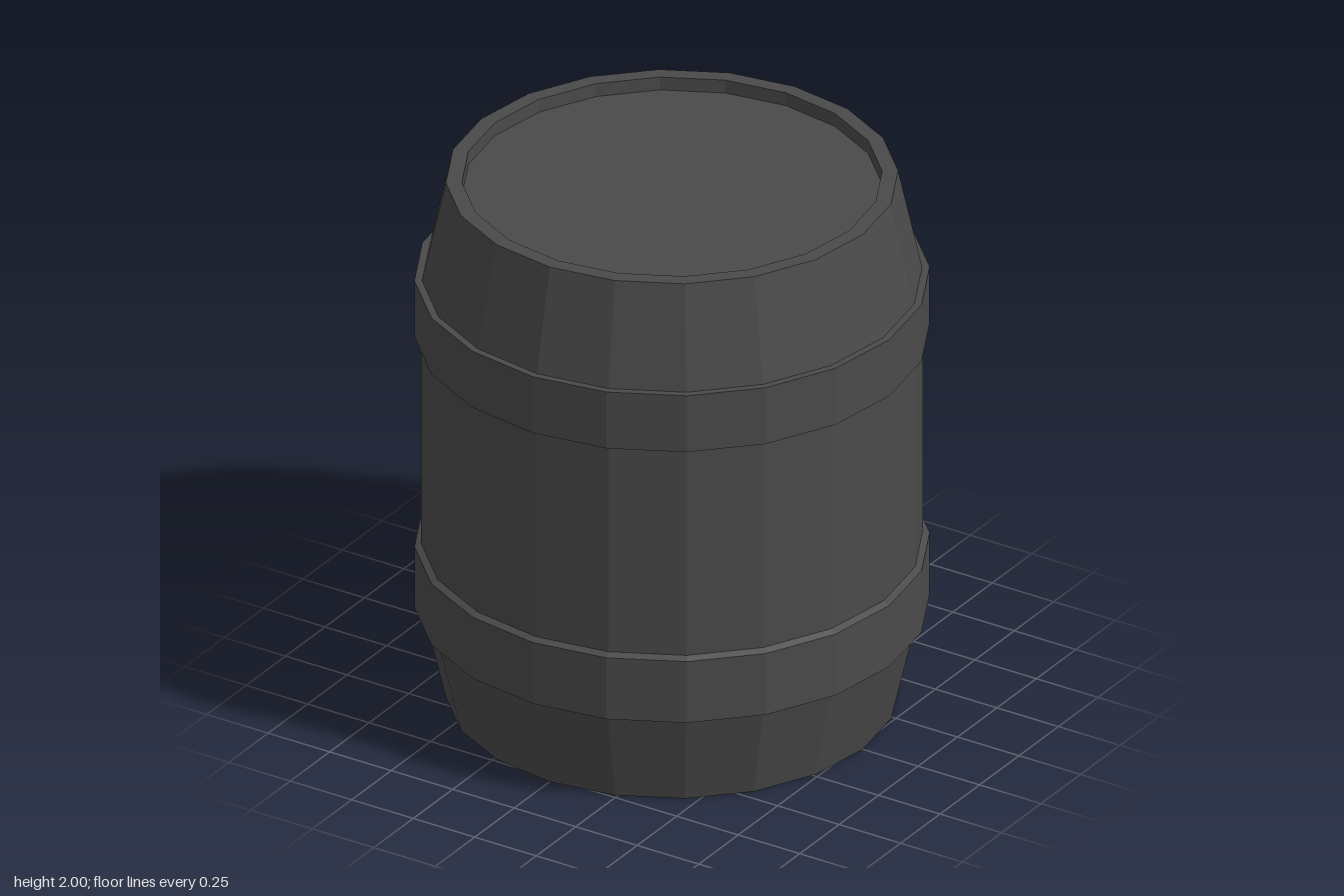
import * as THREE from 'three';

const SIDES = 20;

export function createModel() {
  const group = new THREE.Group();
  group.name = 'barrel';
  const charcoal = new THREE.MeshStandardMaterial({ color: 0x4a4a4a, flatShading: true });
  charcoal.name = 'charcoal';

  // Revolve a profile of [radius, height] pairs, listed from bottom to top
  function revolve(name, profile) {
    const points = profile.map(([r, y]) => new THREE.Vector2(r, y));
    const mesh = new THREE.Mesh(new THREE.LatheGeometry(points, SIDES), charcoal);
    mesh.name = name;
    group.add(mesh);
  }

  // Flat base, tapered ends and straight middle, up to the rim
  revolve('body', [
    [0, 0], [0.775, 0], [0.86, 0.37], [0.86, 1.61], [0.775, 2], [0.72, 2], [0.72, 1.95],
  ]);
  // Lid sunk inside the rim
  revolve('lid', [[0.72, 1.95], [0, 1.95]]);

  // Hoops, each with a small bevel facing the middle
  revolve('lowerHoop', [[0.85, 0.352], [0.883, 0.352], [0.883, 0.59], [0.86, 0.602]]);
  revolve('upperHoop', [[0.86, 1.392], [0.883, 1.404], [0.883, 1.623], [0.85, 1.623]]);

  return group;
}
